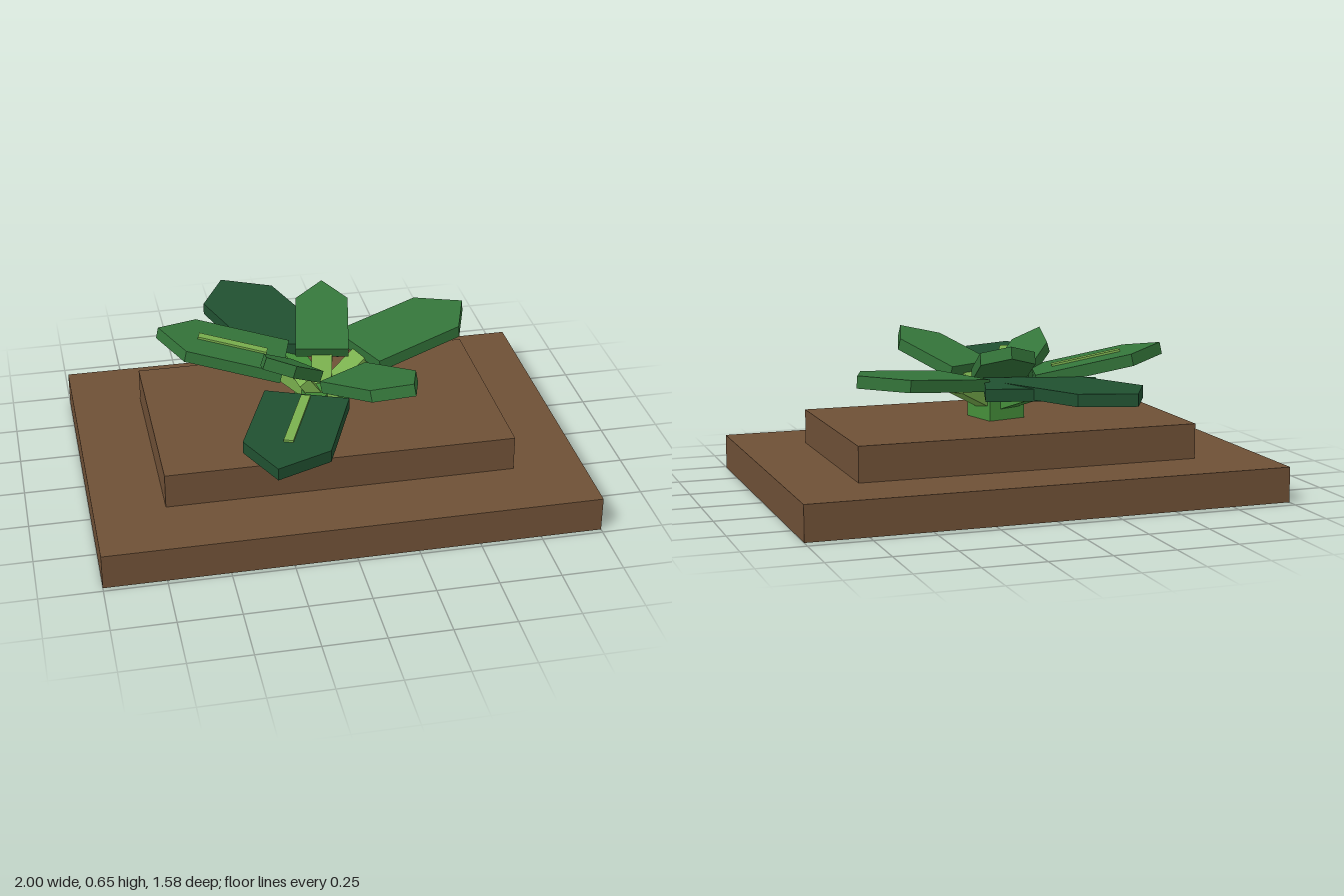
import * as THREE from 'three';

const material = (name, color) => {
  const m = new THREE.MeshStandardMaterial({ color });
  m.name = name;
  return m;
};

export function createModel() {
  const model = new THREE.Group();
  model.name = 'leafyPlant';
  const soil = material('soilBrown', 0x6e5036);
  const dark = material('darkLeafGreen', 0x205030);
  const mid = material('leafGreen', 0x34753a);
  const stemGreen = material('stemGreen', 0x458f3a);
  const light = material('lightGreen', 0x7ab04e);

  const box = (name, size, pos, mat, parent = model) => {
    const mesh = new THREE.Mesh(new THREE.BoxGeometry(...size), mat);
    mesh.position.set(...pos);
    mesh.name = name;
    parent.add(mesh);
    return mesh;
  };

  // Stepped ground and central stalk
  box('lowerGround', [2, 0.145, 1.43], [0, 0.0725, 0.015], soil);
  box('upperGround', [1.426, 0.145, 0.855], [0, 0.2175, 0.0125], soil);
  box('stalk', [0.17, 0.085, 0.17], [0, 0.3325, 0.0175], stemGreen).rotation.y = 0.24;

  // Pointed slab: straight sides, then a triangular tip along +z, top at y = 0
  const leafGeometry = (width, length, tip) => {
    const w = width / 2;
    const shape = new THREE.Shape([[-w, 0], [w, 0], [w, length], [0, length + tip], [-w, length]]
      .map(([x, y]) => new THREE.Vector2(x, y)));
    return new THREE.ExtrudeGeometry(shape, { depth: 0.05, bevelEnabled: false }).rotateX(Math.PI / 2);
  };

  // base: middle of the inner top edge; dir: heading in x and z; vein: start and end along the leaf
  const leaves = [
    { name: 'backLeaf', base: [-0.09, 0.48, -0.22], dir: [-0.33, -0.94], pitch: 0.03, size: [0.34, 0.45, 0.157], mat: dark, stem: stemGreen },
    { name: 'frontLeaf', base: [-0.11, 0.49, 0.264], dir: [-0.375, 0.927], pitch: 0, size: [0.345, 0.4, 0.165], mat: dark, stem: stemGreen, vein: [0.02, 0.37] },
    { name: 'leftLeaf', base: [0.175, 0.49, -0.09], dir: [0.925, -0.38], pitch: 0.1, size: [0.32, 0.41, 0.14], mat: mid, stem: light },
    { name: 'rightLeaf', base: [-0.135, 0.49, -0.06], dir: [-0.96, -0.275], pitch: 0.21, size: [0.28, 0.4, 0.14], mat: mid, stem: light, vein: [0.08, 0.37] },
    { name: 'frontUpperLeaf', base: [0.065, 0.5, 0.13], dir: [0.485, 0.874], pitch: 0.29, size: [0.245, 0.315, 0.125], mat: mid, stem: light },
    { name: 'backUpperLeaf', base: [0.02, 0.505, -0.065], dir: [0.19, -0.98], pitch: 0.38, size: [0.22, 0.28, 0.1], mat: mid, stem: light },
    { name: 'smallInnerLeaf', base: [-0.06, 0.485, 0.02], dir: [-0.76, 0.65], pitch: 0.52, size: [0.17, 0.2, 0.1], mat: mid, stem: light },
  ];

  for (const { name, base, dir, pitch, size, mat, stem, vein } of leaves) {
    const leaf = new THREE.Group();
    leaf.name = name;
    leaf.position.set(...base);
    leaf.rotation.set(-pitch, Math.atan2(dir[0], dir[1]), 0, 'YXZ');
    const blade = new THREE.Mesh(leafGeometry(...size), mat);
    blade.name = name + 'Blade';
    leaf.add(blade);
    // Raised centre vein
    if (vein) {
      box(name + 'Vein', [0.038, 0.009, vein[1] - vein[0]], [0, 0.0045, (vein[0] + vein[1]) / 2], light, leaf);
    }
    model.add(leaf);

    // Sloping stem from the stalk to the underside of the leaf
    const start = new THREE.Vector3(dir[0] * 0.03, 0.345, 0.0175 + dir[1] * 0.03);
    const end = new THREE.Vector3(base[0] + dir[0] * 0.04, base[1] - 0.045, base[2] + dir[1] * 0.04);
    const centre = start.clone().add(end).multiplyScalar(0.5);
    const stemMesh = box(name + 'Stem', [0.085, 0.05, start.distanceTo(end)], centre.toArray(), stem);
    stemMesh.lookAt(end);
  }

  // Flat slab crossing beneath the back leaf
  const a = Math.atan2(0.3, 0.95);
  const along = -0.168, across = -0.29;
  box('lowerBackLeaf', [0.457, 0.05, 0.295],
    [Math.cos(a) * along - Math.sin(a) * across, 0.455, Math.sin(a) * along + Math.cos(a) * across], dark).rotation.y = -a;

  return model;
}
